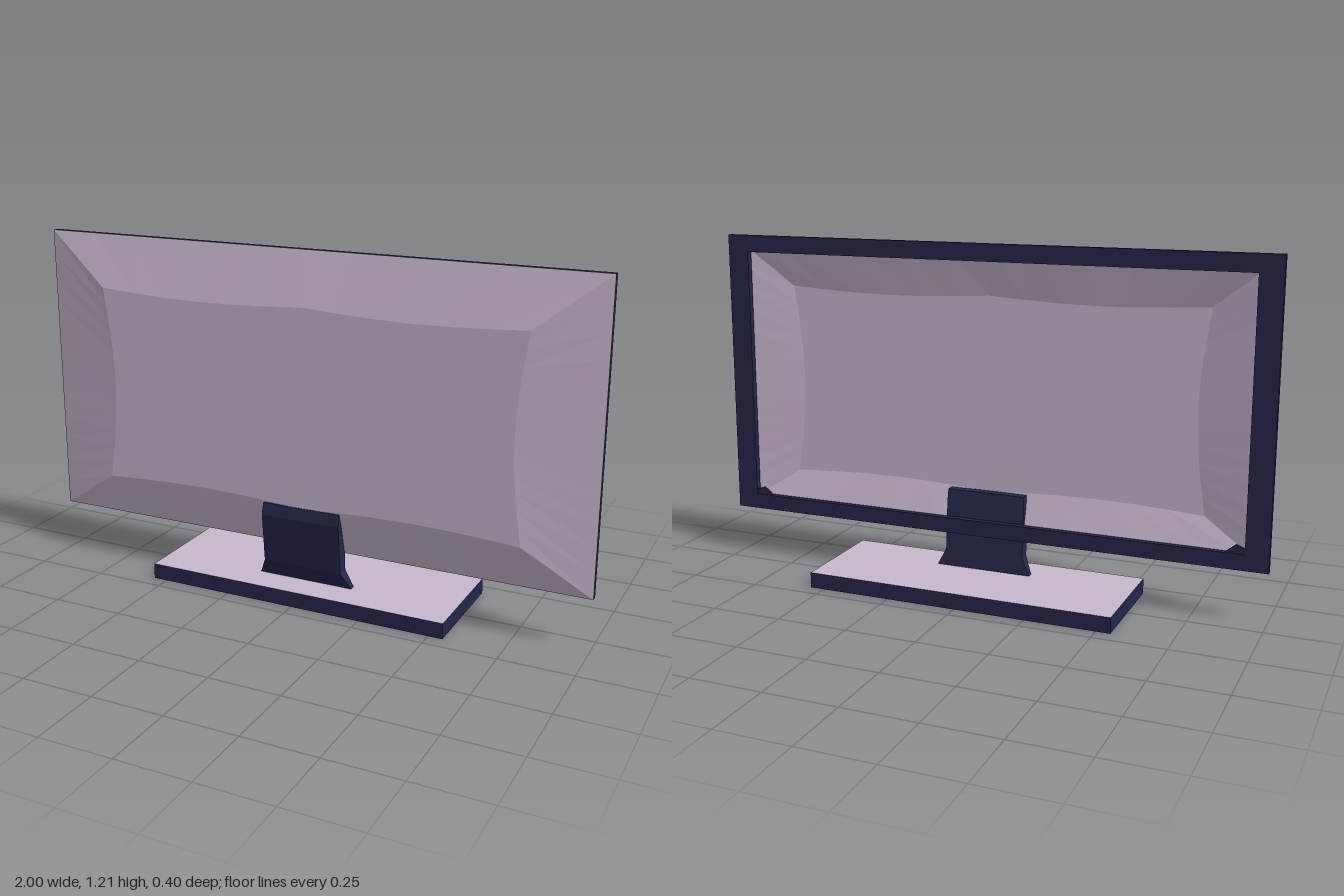
import * as THREE from 'three';

const mauve = new THREE.MeshStandardMaterial({ color: 0xc8b8cd, side: THREE.DoubleSide });
mauve.name = 'mauve';
const navy = new THREE.MeshStandardMaterial({ color: 0x25264a, side: THREE.DoubleSide });
navy.name = 'navy';

const BOTTOM = 0.18, TOP = 1.207;

// Joins equal-length closed rings of points into facets, with optional fan caps
function loft(rings, capStart, capEnd) {
  const pos = [];
  const tri = (a, b, c) => pos.push(...a, ...b, ...c);
  const n = rings[0].length;
  for (let r = 0; r + 1 < rings.length; r++) {
    for (let i = 0; i < n; i++) {
      const j = (i + 1) % n, A = rings[r], B = rings[r + 1];
      tri(A[i], A[j], B[j]);
      tri(A[i], B[j], B[i]);
    }
  }
  const centre = (ring) => [0, 1, 2].map((k) => ring.reduce((s, p) => s + p[k], 0) / n);
  const last = rings[rings.length - 1];
  for (let i = 0; i < n; i++) {
    const j = (i + 1) % n;
    if (capStart) tri(rings[0][j], rings[0][i], centre(rings[0]));
    if (capEnd) tri(last[i], last[j], centre(last));
  }
  const g = new THREE.BufferGeometry();
  g.setAttribute('position', new THREE.Float32BufferAttribute(pos, 3));
  g.computeVertexNormals();
  return g;
}

// Counter-clockwise rectangle outline whose sides are bent by bow(side, t)
function outline(halfW, y0, y1, z, bow = () => 0) {
  const steps = 12, pts = [];
  for (let side = 0; side < 4; side++) {
    for (let k = 0; k < steps; k++) {
      const t = k / steps, b = bow(side, t);
      const x = halfW * (2 * t - 1), y = y0 + (y1 - y0) * t;
      if (side === 0) pts.push([x, y0 + b, z]);
      if (side === 1) pts.push([halfW - b, y, z]);
      if (side === 2) pts.push([-x, y1 - b, z]);
      if (side === 3) pts.push([-halfW + b, y0 + y1 - y, z]);
    }
  }
  return pts;
}

function add(parent, name, geometry, material) {
  const mesh = new THREE.Mesh(geometry, material);
  mesh.name = name;
  parent.add(mesh);
  return mesh;
}

export function createModel() {
  const model = new THREE.Group();
  model.name = 'displayStand';

  // Hollow shell: sloping rim and a slightly bowed flat panel
  const bow = (side, t) => side % 2
    ? 0.035 * Math.sin(Math.PI * t)
    : 0.016 * Math.abs(Math.sin(2 * Math.PI * t));
  add(model, 'shell', loft([
    outline(1, BOTTOM, TOP, 0.077),
    outline(0.77, 0.33, 1.025, 0.12, bow),
  ], false, true), mauve);

  // Open rectangular frame
  const rim = new THREE.Shape();
  rim.moveTo(-1, BOTTOM).lineTo(1, BOTTOM).lineTo(1, TOP).lineTo(-1, TOP).closePath();
  const hole = new THREE.Path();
  hole.moveTo(-0.92, 0.235).lineTo(-0.92, 1.147).lineTo(0.92, 1.147).lineTo(0.92, 0.235).closePath();
  rim.holes.push(hole);
  const frame = add(model, 'frame', new THREE.ExtrudeGeometry(rim, { depth: 0.021, bevelEnabled: false }), navy);
  frame.position.z = 0.055;

  // Small gussets in the lower corners of the frame
  for (const s of [-1, 1]) {
    const gusset = new THREE.Shape();
    gusset.moveTo(s * 0.93, 0.225).lineTo(s * 0.93, 0.25).lineTo(s * 0.89, 0.265).lineTo(s * 0.84, 0.225).closePath();
    const mesh = add(model, s > 0 ? 'leftGusset' : 'rightGusset',
      new THREE.ExtrudeGeometry(gusset, { depth: 0.008, bevelEnabled: false }), navy);
    mesh.position.z = 0.058;
  }

  // Neck: height, back z, front z, half width
  const sections = [
    [0.053, 0.063, 0.085, 0.175],
    [0.115, 0.07, 0.112, 0.145],
    [0.29, 0.083, 0.13, 0.145],
    [0.332, 0.088, 0.122, 0.143],
  ];
  add(model, 'neck', loft(sections.map(([y, zb, zf, w]) => [
    [-w, y, zf], [w, y, zf], [w, y, zb], [-w, y, zb],
  ]), true, true), navy);

  // Base slab with a lighter top face
  const base = add(model, 'base', new THREE.BoxGeometry(1.1, 0.055, 0.395),
    [navy, navy, mauve, navy, navy, navy]);
  base.position.y = 0.0275;

  return model;
}
